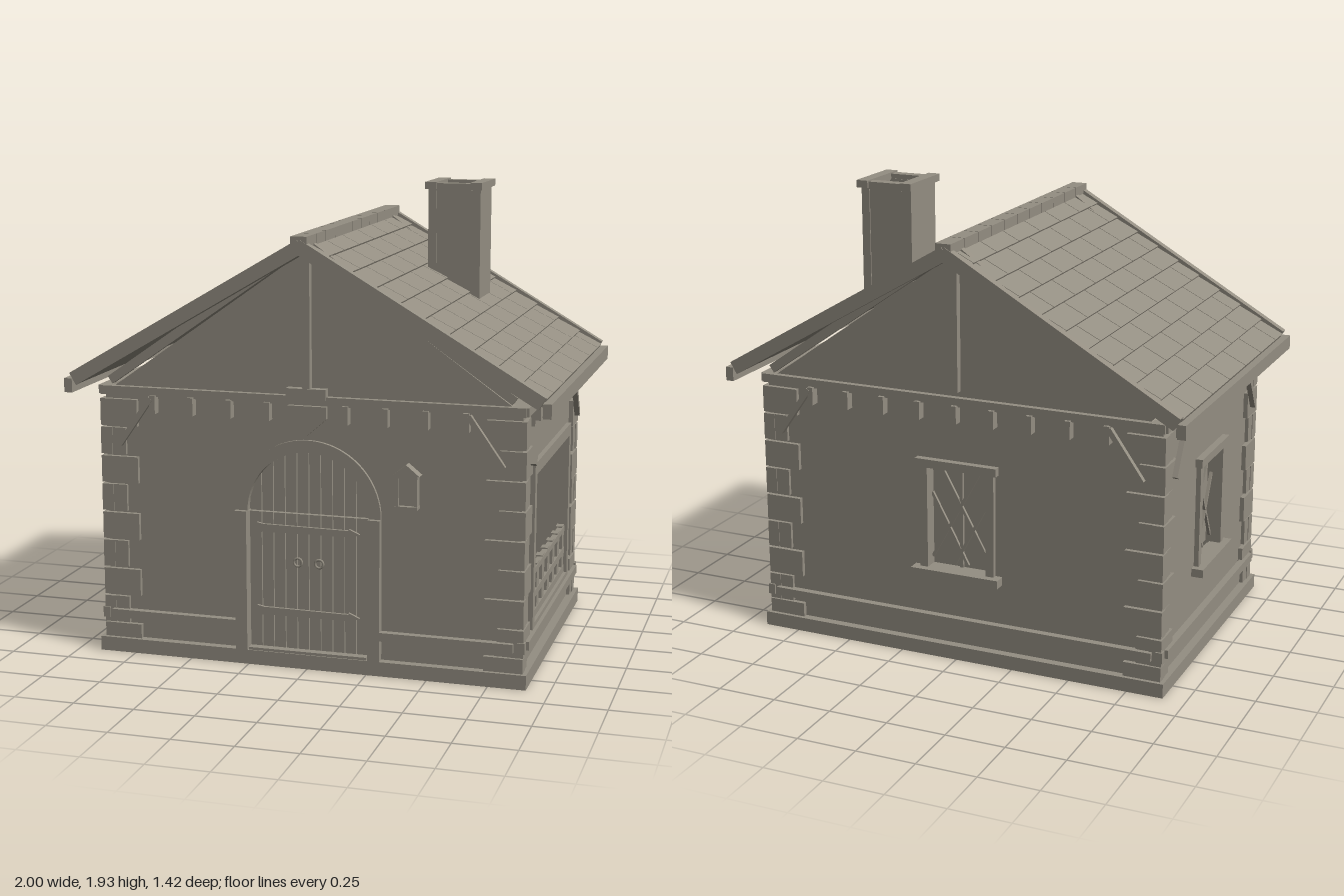
import * as THREE from 'three';

const stone = new THREE.MeshStandardMaterial({ color: 0x948e82 });
stone.name = 'warm grey stone';

function add(parent, name, geo, x = 0, y = 0, z = 0, rz = 0) {
  const m = new THREE.Mesh(geo, stone);
  m.name = name;
  m.position.set(x, y, z);
  m.rotation.z = rz;
  parent.add(m);
  return m;
}
const box = (p, name, x, y, z, w, h, d, rz = 0) =>
  add(p, name, new THREE.BoxGeometry(w, h, d), x, y, z, rz);

function group(parent, name) {
  const g = new THREE.Group();
  g.name = name;
  parent.add(g);
  return g;
}

// Flat outline pushed out to a plate
const plate = (shape, depth) =>
  new THREE.ExtrudeGeometry(shape, { depth, bevelEnabled: false, curveSegments: 24 });
const poly = pts => new THREE.Shape(pts.map(p => new THREE.Vector2(p[0], p[1])));
const rect = (x0, y0, x1, y1) => poly([[x0, y0], [x1, y0], [x1, y1], [x0, y1]]);

function archShape(r, y0, spring) {
  const s = new THREE.Shape();
  s.moveTo(-r, y0);
  s.lineTo(r, y0);
  s.lineTo(r, spring);
  s.absarc(0, spring, r, 0, Math.PI, false);
  s.lineTo(-r, y0);
  return s;
}

// Beam between two points in the plane of a wall
function beam(p, name, x0, y0, x1, y1, z, t, d) {
  const len = Math.hypot(x1 - x0, y1 - y0);
  return box(p, name, (x0 + x1) / 2, (y0 + y1) / 2, z, len, t, d, Math.atan2(y1 - y0, x1 - x0));
}

// Small recessed lattice window; z is the wall surface
function latticeWindow(p, z) {
  const g = group(p, 'latticeWindow');
  for (const s of [-1, 1]) {
    box(g, 'windowJamb', s * 0.148, 0.61, z - 0.01, 0.035, 0.46, 0.06);
    beam(g, 'latticeBar', -s * 0.13, 0.42, s * 0.09, 0.82, z - 0.03, 0.012, 0.012);
    beam(g, 'latticeBar', -s * 0.03, 0.4, s * 0.13, 0.7, z - 0.03, 0.012, 0.012);
  }
  box(g, 'windowHead', 0, 0.84, z, 0.36, 0.035, 0.06);
  box(g, 'windowSill', 0, 0.37, z + 0.01, 0.39, 0.035, 0.08);
  box(g, 'windowMullion', 0, 0.61, z - 0.035, 0.014, 0.45, 0.014);
  box(g, 'windowBack', 0, 0.61, z - 0.065, 0.32, 0.46, 0.02);
}

// Wide opening with a baluster railing
function servingOpening(p, z) {
  const g = group(p, 'wideOpening');
  for (const s of [-1, 1]) box(g, 'openingJamb', s * 0.4, 0.53, z - 0.01, 0.04, 0.68, 0.06);
  box(g, 'openingHead', 0, 0.845, z - 0.01, 0.84, 0.05, 0.06);
  box(g, 'openingSill', 0, 0.19, z - 0.01, 0.84, 0.025, 0.06);
  for (const [y, h] of [[0.402, 0.024], [0.303, 0.028], [0.22, 0.03]])
    box(g, 'railing', 0, y, z - 0.005, 0.76, h, 0.025);
  for (let i = -3; i <= 3; i++) box(g, 'baluster', i * 0.12, 0.31, z - 0.01, 0.05, 0.22, 0.03);
}

function door(p, z) {
  const g = group(p, 'door');
  const surround = archShape(0.305, 0.645, 0.645);
  surround.holes.push(archShape(0.255, 0.645, 0.645));
  add(g, 'doorArch', plate(surround, 0.03), 0, 0, z - 0.015);
  for (const s of [-1, 1]) box(g, 'doorJamb', s * 0.28, 0.35, z + 0.01, 0.05, 0.59, 0.05);
  // Planks cut to the curve of the arch
  add(g, 'doorBacking', plate(archShape(0.258, 0.06, 0.645), 0.02), 0, 0, z - 0.04);
  const w = 0.5 / 10, top = x => 0.645 + Math.sqrt(Math.max(0, 0.0645 - x * x));
  for (let i = 0; i < 10; i++) {
    const a = -0.25 + i * w + 0.002, b = a + w - 0.004, m = (a + b) / 2;
    add(g, 'doorPlank', plate(poly([[a, 0.065], [b, 0.065], [b, top(b)], [m, top(m)], [a, top(a)]]), 0.02), 0, 0, z - 0.025);
  }
  for (const y of [0.225, 0.575]) {
    const strap = poly([[-0.22, -0.022], [-0.19, -0.016], [0.17, -0.013], [0.17, -0.02], [0.215, 0],
      [0.17, 0.02], [0.17, 0.013], [-0.19, 0.016], [-0.22, 0.022]]);
    add(g, 'hingeStrap', plate(strap, 0.012), 0, y, z - 0.005);
  }
  for (const s of [-1, 1])
    add(g, 'doorRing', new THREE.TorusGeometry(0.017, 0.005, 8, 20), s * 0.045, 0.44, z + 0.004);
  box(g, 'doorstep', 0, 0.065, z + 0.01, 0.5, 0.012, 0.04);
}

function lantern(p, z) {
  const g = group(p, 'lantern');
  box(g, 'lanternBody', 0.415, 0.77, z + 0.015, 0.07, 0.11, 0.03);
  for (const s of [-1, 1]) box(g, 'lanternPost', 0.415 + s * 0.038, 0.77, z + 0.02, 0.012, 0.13, 0.04);
  for (const y of [0.707, 0.832]) box(g, 'lanternRim', 0.415, y, z + 0.02, 0.092, 0.012, 0.045);
  add(g, 'lanternRoof', plate(poly([[-0.055, 0], [0.055, 0], [0, 0.045]]), 0.045), 0.415, 0.838, z);
}

// One wall, seen in its own frame: x along it, z outward
function wall(parent, name, turn, half, dist, gable) {
  const g = group(parent, name);
  g.rotation.y = turn;
  const isFront = name === 'frontWall', isRight = name === 'rightWall';
  const inner = gable ? half : half - 0.04;
  const shape = rect(-inner, 0.05, inner, 1.12);
  if (isFront) shape.holes.push(archShape(0.257, 0.06, 0.645));
  else shape.holes.push(isRight ? rect(-0.39, 0.19, 0.39, 0.83) : rect(-0.14, 0.38, 0.14, 0.83));
  add(g, 'wallPanel', plate(shape, 0.04), 0, 0, dist - 0.04);
  if (isFront) { door(g, dist); lantern(g, dist); }
  else if (isRight) servingOpening(g, dist);
  else latticeWindow(g, dist);

  // Corner stones, long and short in turn; the next wall runs opposite
  for (const s of [-1, 1]) for (let i = 0; i < 9; i++) {
    const long = (i % 2 === 0) === gable;
    const x0 = half + 0.016 - (gable ? (long ? 0.158 : 0.105) : (long ? 0.135 : 0.1));
    const x1 = half + (long ? 0.018 : 0.012);
    box(g, 'cornerStone', s * (x0 + x1) / 2, 0.06 + i * 0.12 - (i ? 0 : -0.03), dist + (long ? -0.006 : -0.01),
      x1 - x0, i ? 0.112 : 0.06, 0.05);
  }
  // Low rail round the base
  const spans = isFront ? [[-half + 0.02, -0.29], [0.29, half - 0.02]] : [[-half + 0.02, half - 0.02]];
  for (const [a, b] of spans) box(g, 'baseRail', (a + b) / 2, 0.165, dist + 0.02, b - a, 0.036, 0.03);
  for (const s of [-1, 1]) box(g, 'railEnd', s * (half + 0.01), 0.165, dist + 0.01, 0.03, 0.045, 0.03);

  // Top plate, joist ends and corner braces
  box(g, 'topPlate', 0, 1.113, dist, half * 2 + 0.03, 0.036, 0.05);
  const n = gable ? 9 : 6, step = gable ? 0.163 : 0.17;
  for (let i = 0; i < n; i++) {
    if (isFront && i === 4) continue;
    box(g, 'joistEnd', (i - (n - 1) / 2) * step, 1.063, dist + 0.015, 0.024, 0.075, 0.05);
  }
  for (const s of [-1, 1]) {
    const lo = half - 0.07, hi = half - (gable ? 0.21 : 0.19);
    beam(g, 'cornerBrace', s * lo, 0.89, s * hi, 1.09, dist + 0.03, 0.022, 0.022);
  }
  if (gable) {
    add(g, 'gablePanel', plate(poly([[-half, 1.1], [half, 1.1], [0, 1.715]]), 0.04), 0, 0, dist - 0.04);
    box(g, 'kingPost', 0, 1.43, dist + 0.01, 0.032, 0.55, 0.04);
    for (const s of [-1, 1]) beam(g, 'gableRafter', 0, 1.74, s * 0.84, 1.155, dist + 0.008, 0.036, 0.03);
  }
  if (isFront) {
    add(g, 'shieldPlate', plate(poly([[-0.08, 1.09], [-0.08, 1.04], [0, 0.97], [0.08, 1.04], [0.08, 1.09]]), 0.02), 0, 0, dist);
    box(g, 'shieldTop', 0, 1.14, dist + 0.015, 0.165, 0.045, 0.04);
  }
}

function roof(parent) {
  const g = group(parent, 'roof');
  const slope = 0.53, len = 1.125, rows = 10, pitch = len / rows, edge = 0.675, tile = 0.22;
  for (const turn of [0, Math.PI]) {
    const side = group(g, 'roofSide');
    side.rotation.y = turn;
    box(side, 'eaveBoard', 0.983, 1.142, 0, 0.034, 0.058, 1.42);
    const s = group(side, 'roofSlope');
    s.position.y = 1.752;
    s.rotation.z = -slope;
    box(s, 'roofDeck', len / 2, -0.028, 0, len, 0.03, 1.38);
    // Overlapping shingles, each row shifted by half a tile
    for (let r = 0; r < rows; r++)
      for (let z = -edge - (r % 2) * tile / 2; z < edge - 0.01; z += tile) {
        const a = Math.max(z, -edge) + 0.002, b = Math.min(z + tile, edge) - 0.002;
        box(s, 'shingle', (r + 0.5) * pitch, -0.008, (a + b) / 2, pitch + 0.008, 0.014, b - a, 0.07);
      }
    for (const e of [-1, 1]) box(s, 'bargeBoard', len / 2, -0.016, e * 0.693, len, 0.056, 0.034);
  }
  for (let i = 0; i < 11; i++) box(g, 'ridgeCap', 0, 1.754, (i - 5) * 0.129, 0.066, 0.042, 0.124);
}

function chimney(parent) {
  const g = group(parent, 'chimney');
  g.position.set(0.418, 0, -0.255);
  for (const s of [-1, 1]) {
    box(g, 'chimneySide', s * 0.095, 1.65, 0, 0.035, 0.51, 0.22);
    box(g, 'chimneyFace', 0, 1.65, s * 0.09, 0.16, 0.51, 0.03);
    box(g, 'chimneyCapSide', s * 0.098, 1.915, 0, 0.05, 0.03, 0.268);
    box(g, 'chimneyCapFace', 0, 1.91, s * 0.1, 0.15, 0.03, 0.045);
  }
}

export function createModel() {
  const house = new THREE.Group();
  house.name = 'stoneCottage';
  box(house, 'plinth', 0, 0.03, 0, 1.81, 0.06, 1.25);
  box(house, 'ceiling', 0, 1.1, 0, 1.68, 0.02, 1.12);
  wall(house, 'frontWall', 0, 0.87, 0.59, true);
  wall(house, 'backWall', Math.PI, 0.87, 0.59, true);
  wall(house, 'rightWall', Math.PI / 2, 0.59, 0.87, false);
  wall(house, 'leftWall', -Math.PI / 2, 0.59, 0.87, false);
  roof(house);
  chimney(house);
  return house;
}
